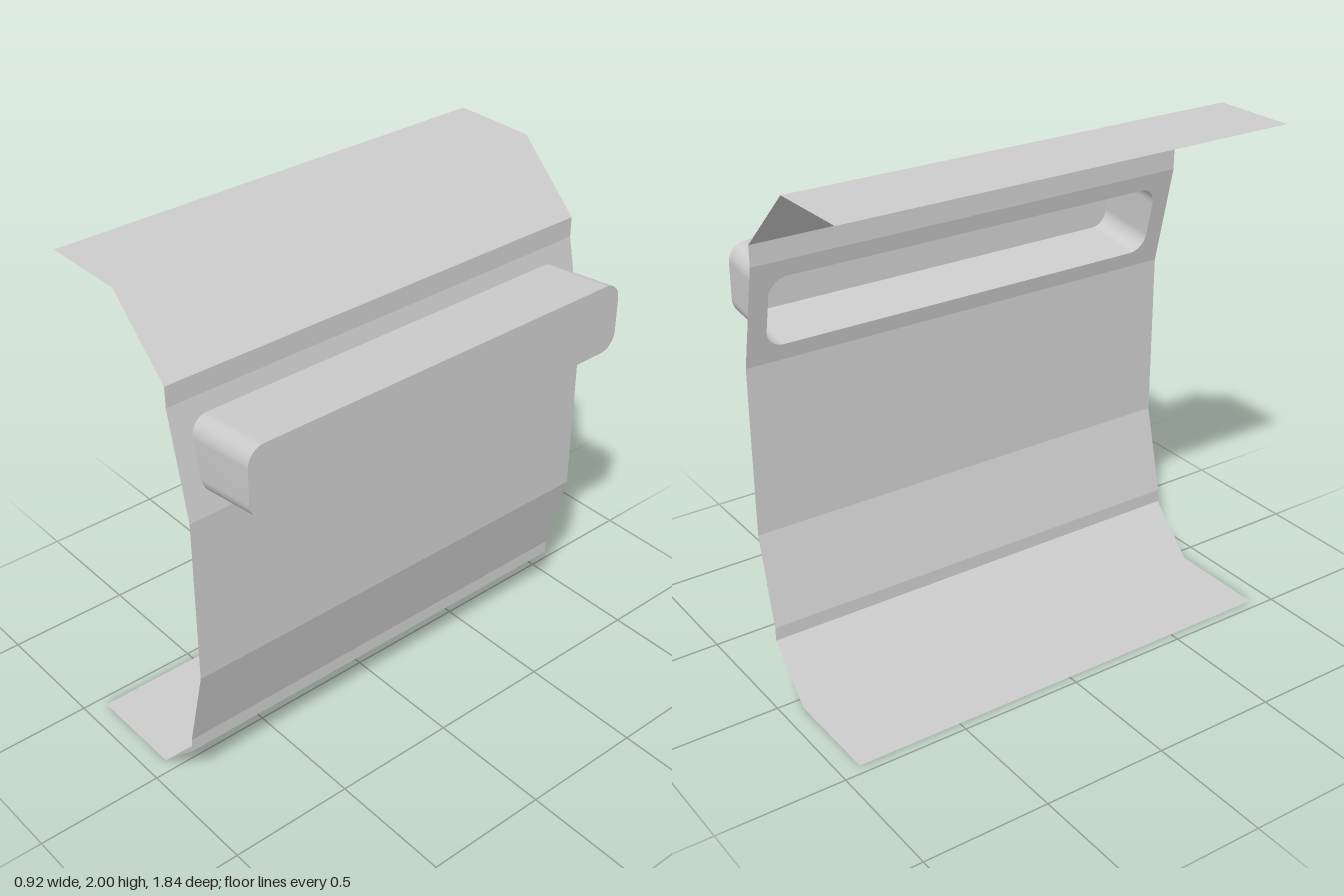
import * as THREE from 'three';

const HALF = 0.92; // half length of the wall along z

// wall profile (x, y) from the floor lip up to the roof lip
const PROFILE = [
  [-0.46, 0], [-0.053, 0], [0.137, 0.19], [0.137, 0.245], [0.225, 0.6],
  [0.225, 1.27], [0.137, 1.675], [0.137, 1.755], [-0.118, 2], [-0.46, 2],
];
const NAMES = ['floorLip', 'lowerSlope', 'lowerSill', 'lowerWall', 'middleWall',
  'windowWall', 'upperSill', 'roofSlope', 'roofLip'];

// rounded rectangle, counter-clockwise, in (u = -z, y)
function roundedOutline(halfWidth, y0, y1, r, steps = 8) {
  const pts = [];
  const corners = [[1, y0 + r, -90], [1, y1 - r, 0], [-1, y1 - r, 90], [-1, y0 + r, 180]];
  for (const [side, cy, start] of corners) {
    for (let i = 0; i <= steps; i++) {
      const a = THREE.MathUtils.degToRad(start + (90 * i) / steps);
      pts.push(new THREE.Vector2(side * (halfWidth - r) + r * Math.cos(a), cy + r * Math.sin(a)));
    }
  }
  return pts;
}

// flat panel between two profile points, with an optional opening
function panel(a, b, opening) {
  const shape = new THREE.Shape([
    new THREE.Vector2(-HALF, 0), new THREE.Vector2(HALF, 0),
    new THREE.Vector2(HALF, 1), new THREE.Vector2(-HALF, 1),
  ]);
  if (opening) {
    shape.holes.push(new THREE.Path(
      opening.map((p) => new THREE.Vector2(p.x, (p.y - a[1]) / (b[1] - a[1])))));
  }
  const geo = new THREE.ShapeGeometry(shape);
  const pos = geo.attributes.position;
  for (let i = 0; i < pos.count; i++) {
    const u = pos.getX(i), t = pos.getY(i);
    pos.setXYZ(i, a[0] + (b[0] - a[0]) * t, a[1] + (b[1] - a[1]) * t, -u);
  }
  geo.computeVertexNormals();
  return geo;
}

// band of quads joining two closed loops of points
function band(inner, outer) {
  const n = inner.length, index = [];
  for (let i = 0; i < n; i++) {
    const j = (i + 1) % n;
    index.push(i, j, n + j, i, n + j, n + i);
  }
  const geo = new THREE.BufferGeometry().setFromPoints([...inner, ...outer]);
  geo.setIndex(index);
  geo.computeVertexNormals();
  return geo;
}

export function createModel() {
  const group = new THREE.Group();
  const grey = new THREE.MeshStandardMaterial({ color: 0xcccccc, side: THREE.DoubleSide });
  grey.name = 'light grey';
  const add = (name, geo) => {
    const mesh = new THREE.Mesh(geo, grey);
    mesh.name = name;
    group.add(mesh);
  };

  const opening = roundedOutline(0.845, 1.333, 1.61, 0.07);
  const face = roundedOutline(0.845, 1.367, 1.645, 0.07);

  // bent wall, one panel per profile segment
  NAMES.forEach((name, i) => {
    add(name, panel(PROFILE[i], PROFILE[i + 1], name === 'windowWall' ? opening : null));
  });

  // bay: rounded sleeve from the sloped opening out to an upright face
  const [lo, hi] = [PROFILE[5], PROFILE[6]];
  const wallX = (y) => lo[0] + ((hi[0] - lo[0]) * (y - lo[1])) / (hi[1] - lo[1]);
  const faceX = 0.457;
  add('baySleeve', band(
    opening.map((p) => new THREE.Vector3(wallX(p.y), p.y, -p.x)),
    face.map((p) => new THREE.Vector3(faceX, p.y, -p.x))));
  const cap = new THREE.ShapeGeometry(new THREE.Shape(face));
  cap.rotateY(Math.PI / 2).translate(faceX, 0, 0);
  add('bayFace', cap);

  return group;
}
